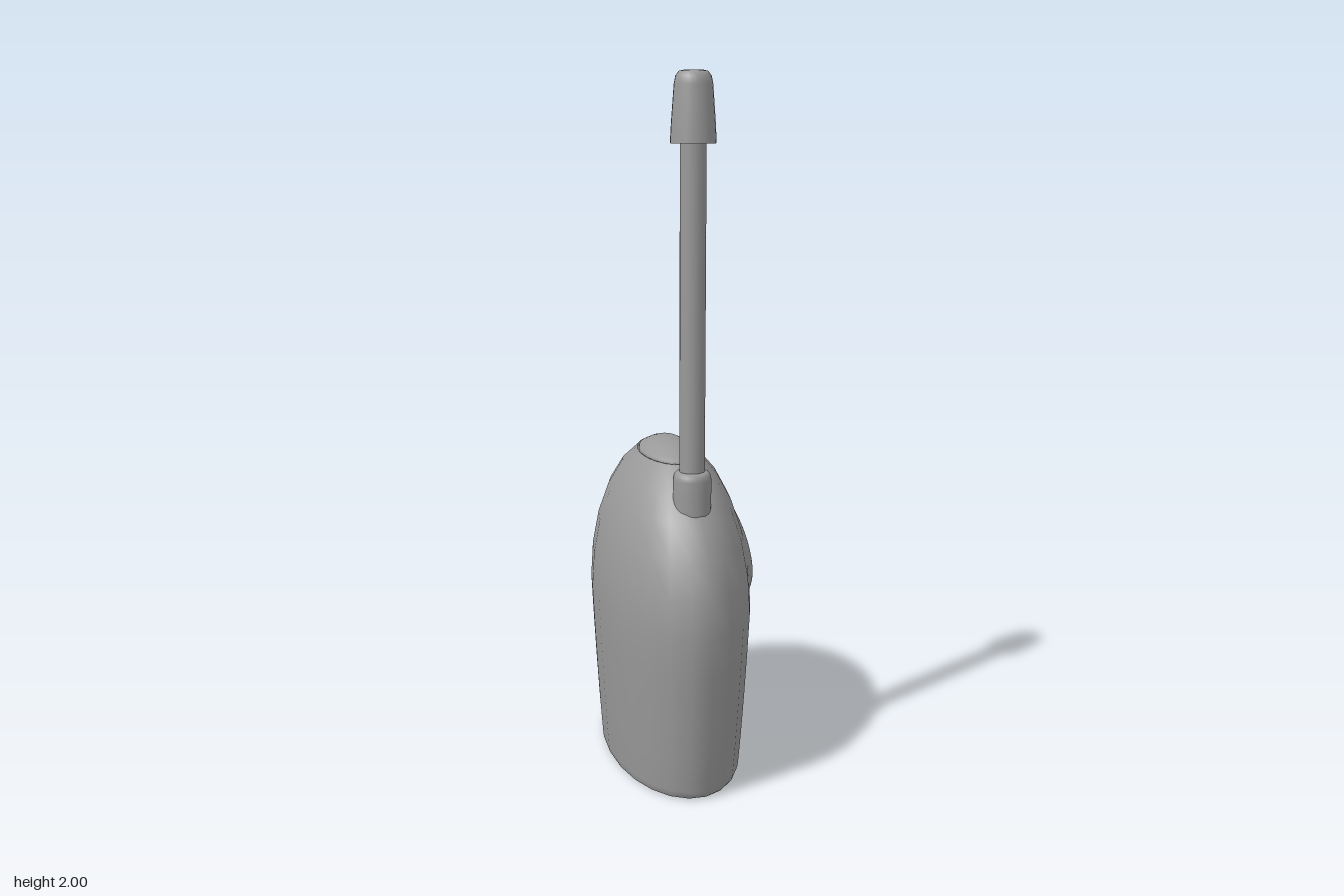
import * as THREE from 'three';

const CX = -0.01;       // the shell sits slightly off the aerial's axis
const RZ = 0.439;       // largest half depth
const RATIO = 0.508;    // half width / half depth
const WAIST = 0.5, DOME = 0.462;

const mat = new THREE.MeshStandardMaterial({ color: 0x999999 });
const matDouble = new THREE.MeshStandardMaterial({ color: 0x999999, side: THREE.DoubleSide });

// Half depth of the shell at height y: tapered below the waist, elliptical dome above
function halfDepth(y) {
  if (y < WAIST) {
    const t = y / WAIST;
    return 0.385 + (RZ - 0.385) * (1.25 * t - 0.25 * t * t);
  }
  return RZ * Math.sqrt(Math.max(0, 1 - ((y - WAIST) / DOME) ** 2));
}
const domeY = r => WAIST + DOME * Math.sqrt(1 - (r / RZ) ** 2);

function lathe(points, segments, start = 0) {
  return new THREE.LatheGeometry(points.map(p => new THREE.Vector2(p[0], p[1])), segments, start);
}

function add(parent, name, geometry, material = mat) {
  const mesh = new THREE.Mesh(geometry, material);
  mesh.name = name;
  parent.add(mesh);
  return mesh;
}

// Lathe squashed to the oval plan of the shell
function oval(parent, name, points, segments = 24) {
  const g = lathe(points, segments, Math.PI / segments);
  g.scale(RATIO, 1, 1);
  g.translate(CX, 0, 0);
  return add(parent, name, g, matDouble);
}

// Softly raised speaker pad on the left side, fading out toward the top and back
function speakerGeometry() {
  const N = 96, SIZE = 0.37, Y0 = 0.62;
  const holes = [];
  for (let i = -2; i <= 2; i++) {
    const n = 5 - Math.abs(i);
    for (let k = 0; k < n; k++) holes.push([0.63 + i * 0.036, -0.012 + (k - (n - 1) / 2) * 0.032]);
  }
  const g = new THREE.PlaneGeometry(SIZE, SIZE, N, N);
  g.rotateY(Math.PI / 2);
  const pos = g.attributes.position;
  for (let i = 0; i < pos.count; i++) {
    const z = pos.getZ(i), y = pos.getY(i) + Y0;
    const hd = halfDepth(y);
    const side = CX + RATIO * Math.sqrt(Math.max(0, hd * hd - z * z));
    const rise = Math.max(0.001, 0.01 + 0.06 * z - 0.065 * (y - Y0));
    const k = 1 - THREE.MathUtils.smoothstep(Math.hypot(z, y - Y0), 0.1, 0.183);
    let x = side - 0.005 + (rise + 0.005) * k;
    for (const [hy, hz] of holes) {
      const d = Math.hypot(y - hy, z - hz);
      x -= 0.005 * (1 - THREE.MathUtils.smoothstep(d, 0.003, 0.01));
    }
    pos.setXYZ(i, x, y, z);
  }
  g.computeVertexNormals();
  return g;
}

export function createModel() {
  const model = new THREE.Group();

  // Shell: side wall, dome up to the button opening, and base
  const body = new THREE.Group();
  body.name = 'body';
  model.add(body);
  const RIM = 0.17;
  const wall = [[0.376, 0.003], [0.383, 0.01], [0.387, 0.025]];
  for (const y of [0.12, 0.25, 0.38, WAIST]) wall.push([halfDepth(y), y]);
  const rimAngle = Math.acos(RIM / RZ);
  for (let i = 1; i <= 5; i++) {
    const a = rimAngle * i / 5;
    wall.push([RZ * Math.cos(a), WAIST + DOME * Math.sin(a)]);
  }
  oval(body, 'shell', wall);
  oval(body, 'base', [[0, 0], [0.368, 0], [0.376, 0.003]]);

  // Oval button on the crown, set in a narrow groove
  const button = new THREE.Group();
  button.name = 'topButton';
  model.add(button);
  const rimY = domeY(RIM);
  oval(button, 'buttonGroove', [[RIM + 0.001, rimY], [RIM - 0.002, rimY - 0.012], [0.155, rimY - 0.012]], 48);
  oval(button, 'buttonCap', [[0.162, rimY - 0.012], [0.162, rimY - 0.001], [0.158, domeY(0.158)],
    [0.14, 0.938], [0.11, 0.949], [0.07, 0.96], [0, 0.962]], 48);

  add(model, 'speakerPad', speakerGeometry());

  // Aerial: collar, rod and tapered tip
  const aerial = new THREE.Group();
  aerial.name = 'aerial';
  aerial.position.set(-0.003, 0, 0.265);
  model.add(aerial);
  add(aerial, 'collar', lathe([[0.053, 0.78], [0.053, 0.86], [0.053, 0.91], [0.05, 0.923], [0.043, 0.931], [0.03, 0.932]], 24));
  const rod = add(aerial, 'rod', new THREE.CylinderGeometry(0.035, 0.035, 0.98, 20));
  rod.position.y = 1.34;
  add(aerial, 'tip', lathe([[0.061, 1.815], [0.058, 1.87], [0.051, 1.965], [0.047, 1.985], [0.038, 1.997], [0.025, 2], [0, 2]], 24));
  add(aerial, 'tipUnderside', lathe([[0, 1.815], [0.061, 1.815]], 24), matDouble);

  return model;
}
